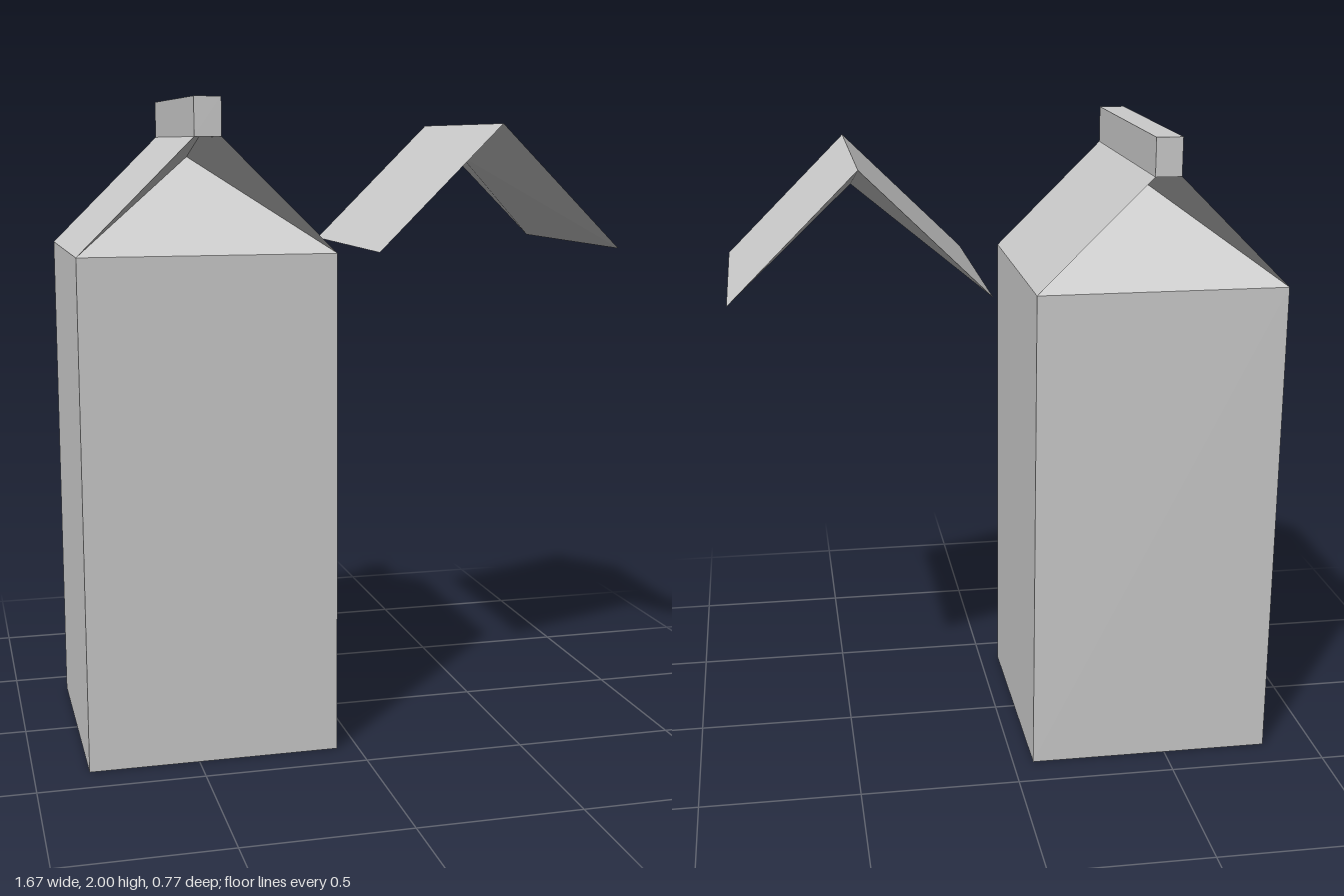
import * as THREE from 'three';

const HALF = 0.385;    // half width of the square carton
const WALL = 1.545;    // height of the walls
const RIDGE = 0.38;    // ridge height above the walls
const FOLD = 0.28;     // height of the inner fold point above the walls
const OFFSET = 0.45;   // carton to the right, loose roof to the left

const material = new THREE.MeshStandardMaterial({ color: 0xcccccc, flatShading: true });

function addMesh(parent, name, geometry, y = 0) {
  const mesh = new THREE.Mesh(geometry, material);
  mesh.name = name;
  mesh.position.y = y;
  parent.add(mesh);
  return mesh;
}

// One half of the gable: sloping panel, underside and the two folded-in ends
function roofHalfGeometry() {
  const a = [HALF, 0, HALF], b = [HALF, 0, -HALF];          // eave corners
  const r = [0, RIDGE, HALF], s = [0, RIDGE, -HALF];        // ridge ends
  const c = [0, FOLD, 0];                                   // inner fold point
  const faces = [a, b, s, a, s, r, a, c, b, a, r, c, s, b, c];
  const geometry = new THREE.BufferGeometry();
  geometry.setAttribute('position', new THREE.Float32BufferAttribute(faces.flat(), 3));
  geometry.computeVertexNormals();
  return geometry;
}

function createRoof(name) {
  const roof = new THREE.Group();
  roof.name = name;
  roof.position.y = WALL;
  const geometry = roofHalfGeometry();
  addMesh(roof, 'leftRoofPanel', geometry);
  addMesh(roof, 'rightRoofPanel', geometry).rotation.y = Math.PI;
  return roof;
}

export function createModel() {
  const model = new THREE.Group();
  model.name = 'cartonWithLooseRoof';

  // Carton: walls, inward-folded gable ends, roof and sealed top fin
  const carton = new THREE.Group();
  carton.name = 'carton';
  carton.position.x = -OFFSET;
  addMesh(carton, 'body', new THREE.BoxGeometry(2 * HALF, WALL, 2 * HALF), WALL / 2);
  const gable = new THREE.ConeGeometry(HALF * Math.SQRT2, FOLD, 4, 1, true);
  gable.rotateY(Math.PI / 4);
  addMesh(carton, 'foldedGable', gable, WALL + FOLD / 2);
  carton.add(createRoof('roof'));
  addMesh(carton, 'topFin', new THREE.BoxGeometry(0.08, 0.115, 2 * HALF), 1.9425);
  model.add(carton);

  // Separate roof beside the carton
  const looseRoof = createRoof('looseRoof');
  looseRoof.position.x = OFFSET;
  model.add(looseRoof);

  return model;
}
